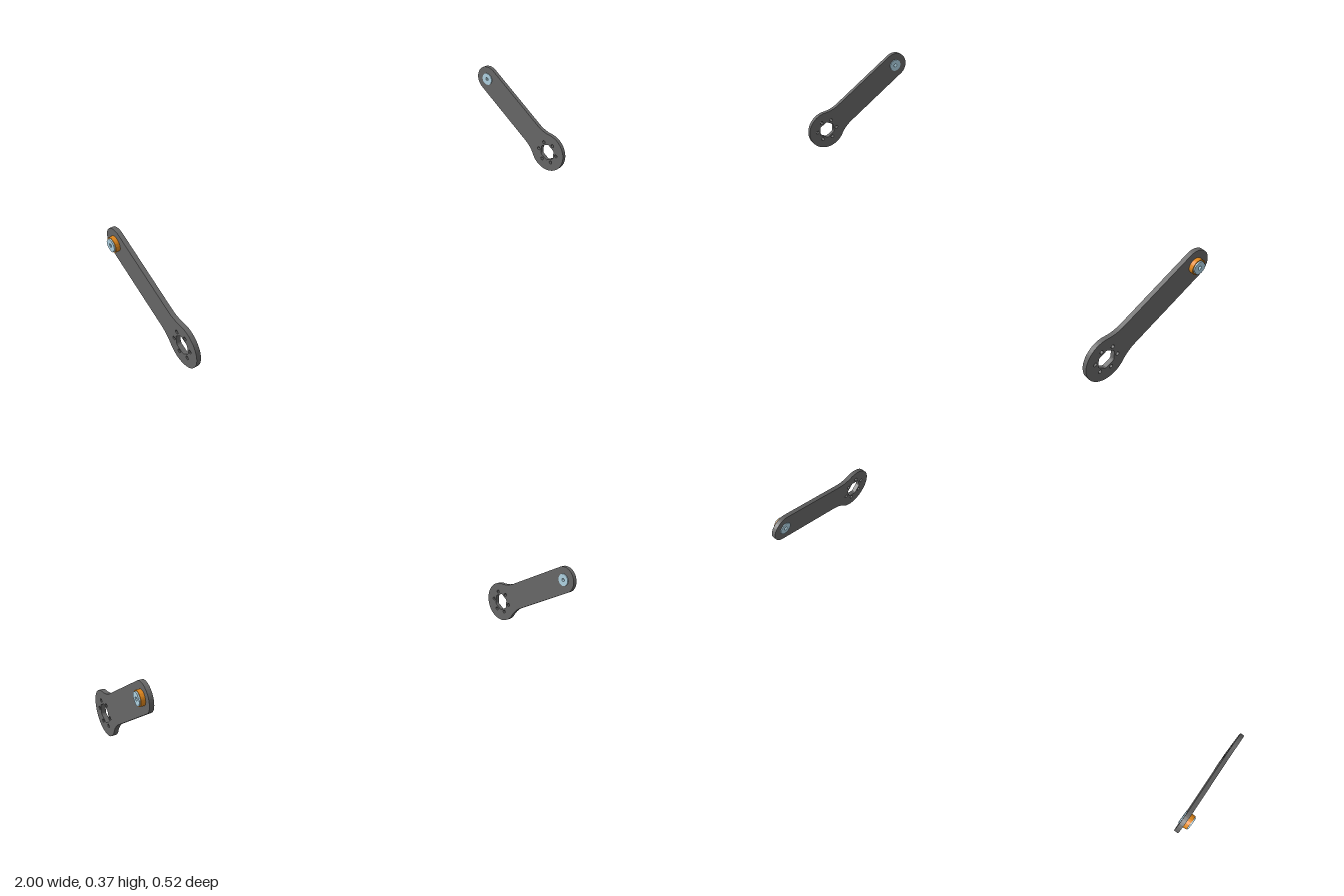
import * as THREE from 'three';
import { toCreasedNormals } from 'three/addons/utils/BufferGeometryUtils.js';

const TAU = Math.PI * 2;
const BIG = new THREE.Vector2(-0.175, 0.09);      // hub centre, as (-z, y)
const SMALL = new THREE.Vector2(0.202, 0.3155);   // pin centre
const BIG_R = 0.088, HALF_W = 0.058;
const PIN_R = 0.0255, BORE_R = 0.0073;

const steel = new THREE.MeshStandardMaterial({ color: 0x666666 });
const orange = new THREE.MeshStandardMaterial({ color: 0xe0861a });
const blue = new THREE.MeshStandardMaterial({ color: 0xadd0e0 });

function circle(Type, c, r) {
  const s = new Type();
  s.absarc(c.x, c.y, r, 0, TAU, false);
  return s;
}

// Extrudes a side profile between two distances from the middle plane
function slab(name, shape, from, to, side, material) {
  const geo = new THREE.ExtrudeGeometry(shape, { depth: to - from, bevelEnabled: false, curveSegments: 32 });
  geo.translate(0, 0, side > 0 ? from : -to);
  geo.rotateY(Math.PI / 2);
  const mesh = new THREE.Mesh(toCreasedNormals(geo, 0.5), material);
  mesh.name = name;
  return mesh;
}

// Lever outline: hub circle, concave neck fillets, straight sides, round end
function armShape() {
  const a = Math.atan2(SMALL.y - BIG.y, SMALL.x - BIG.x);
  const neckR = 0.144, neckU = 0.114, neckV = HALF_W + neckR;
  const phi = Math.atan2(neckV, neckU);
  const neck = (sign) => new THREE.Vector2(neckU, sign * neckV).rotateAround(new THREE.Vector2(), a).add(BIG);
  const low = neck(-1), high = neck(1);
  const s = new THREE.Shape();
  s.absarc(BIG.x, BIG.y, BIG_R, a + phi, a + TAU - phi, false);
  s.absarc(low.x, low.y, neckR, a + Math.PI - phi, a + Math.PI / 2, true);
  s.absarc(SMALL.x, SMALL.y, HALF_W, a - Math.PI / 2, a + Math.PI / 2, false);
  s.absarc(high.x, high.y, neckR, a - Math.PI / 2, a - Math.PI + phi, true);

  // hexagonal socket with slightly blunted corners
  const hex = [];
  for (let i = 0; i < 6; i++) {
    for (const d of [-0.08, 0.08]) {
      const t = Math.PI / 2 + i * TAU / 6 + d;
      hex.push(new THREE.Vector2(BIG.x + 0.0377 * Math.cos(t), BIG.y + 0.0377 * Math.sin(t)));
    }
  }
  s.holes.push(new THREE.Path(hex));

  // ring of bolt holes
  for (let i = 0; i < 6; i++) {
    const t = i * TAU / 6;
    const c = new THREE.Vector2(BIG.x + 0.0486 * Math.cos(t), BIG.y + 0.0486 * Math.sin(t));
    s.holes.push(circle(THREE.Path, c, 0.0073));
  }
  s.holes.push(circle(THREE.Path, SMALL, PIN_R));
  return s;
}

function ringShape(outer, inner) {
  const s = circle(THREE.Shape, SMALL, outer);
  s.holes.push(circle(THREE.Path, SMALL, inner));
  return s;
}

// Round pin with two opposite flats and a central bore
function flattedPinShape() {
  const tilt = 0.63, half = 0.5;
  const s = new THREE.Shape();
  s.absarc(SMALL.x, SMALL.y, PIN_R, tilt + half, tilt + Math.PI - half, false);
  s.absarc(SMALL.x, SMALL.y, PIN_R, tilt + Math.PI + half, tilt + TAU - half, false);
  s.closePath();
  s.holes.push(circle(THREE.Path, SMALL, BORE_R));
  return s;
}

function lever(side) {
  const g = new THREE.Group();
  g.name = side > 0 ? 'leftLever' : 'rightLever';
  g.add(
    slab('arm', armShape(), 0.962, 0.979, side, steel),
    slab('pinHead', ringShape(0.027, BORE_R), 0.958, 0.962, side, blue),
    slab('pinShank', ringShape(PIN_R, BORE_R), 0.962, 0.979, side, blue),
    slab('pinEnd', flattedPinShape(), 0.979, 1.0, side, blue),
    slab('bushing', ringShape(0.0295, PIN_R), 0.979, 0.995, side, orange),
  );
  return g;
}

export function createModel() {
  const model = new THREE.Group();
  model.name = 'leverPair';
  for (const side of [1, -1]) model.add(lever(side));
  return model;
}
